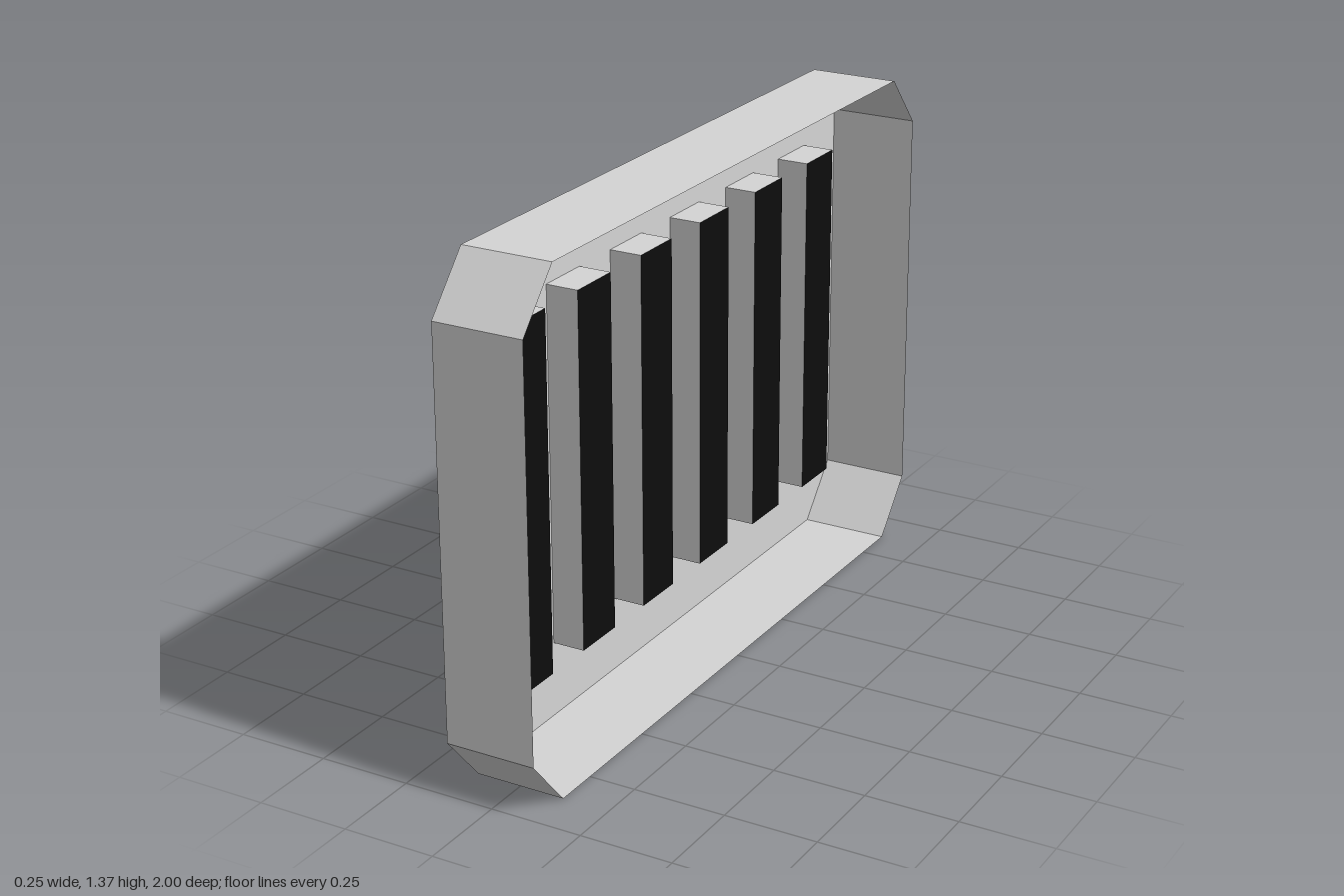
import * as THREE from 'three';

const HALF_DEPTH = 0.123, HEIGHT = 1.37;
const CAP_X = -0.034; // depth at which the slots are closed

const grey = new THREE.MeshStandardMaterial({ name: 'light grey', color: 0xd4d4d4, side: THREE.DoubleSide });
const black = new THREE.MeshStandardMaterial({ name: 'black', color: 0x0d0d0d, side: THREE.DoubleSide });

// Thin band running round a closed (z, y) outline, from x0 to x1
function band(points, x0, x1) {
  const pos = [];
  points.forEach(([az, ay], i) => {
    const [bz, by] = points[(i + 1) % points.length];
    pos.push(x0, ay, az, x1, ay, az, x1, by, bz);
    pos.push(x0, ay, az, x1, by, bz, x0, by, bz);
  });
  const geo = new THREE.BufferGeometry();
  geo.setAttribute('position', new THREE.Float32BufferAttribute(pos, 3));
  geo.computeVertexNormals();
  return geo;
}

const rectangle = (z, y, w, h) => [
  [z - w / 2, y - h / 2], [z + w / 2, y - h / 2],
  [z + w / 2, y + h / 2], [z - w / 2, y + h / 2],
];

const toVectors = (points) => points.map(([z, y]) => new THREE.Vector2(z, y));

export function createModel() {
  const group = new THREE.Group();
  group.name = 'ventGrille';
  const add = (name, geo, material) => {
    const mesh = new THREE.Mesh(geo, material);
    mesh.name = name;
    group.add(mesh);
    return mesh;
  };

  // Outline with cut corners
  const cz = 0.873, cy = 0.145;
  const outline = [
    [-cz, 0], [cz, 0], [1, cy], [1, HEIGHT - cy],
    [cz, HEIGHT], [-cz, HEIGHT], [-1, HEIGHT - cy], [-1, cy],
  ];
  add('rim', band(outline, -HALF_DEPTH, HALF_DEPTH), grey);

  // Slotted plate, with each slot running into a closed channel
  const plate = new THREE.Shape(toVectors(outline));
  const slotWidth = 0.152, slotHeight = 0.962;
  for (let i = 0; i < 6; i++) {
    const z = (i - 2.5) * 0.296;
    const slot = rectangle(z, HEIGHT / 2, slotWidth, slotHeight);
    plate.holes.push(new THREE.Path(toVectors(slot)));
    add('slotChannel', band(slot, -HALF_DEPTH, CAP_X), grey);

    const cap = add('slotCap', new THREE.PlaneGeometry(slotWidth, slotHeight).rotateY(Math.PI / 2), black);
    cap.position.set(CAP_X, HEIGHT / 2, z);
  }
  const face = add('facePlate', new THREE.ShapeGeometry(plate).rotateY(-Math.PI / 2), grey);
  face.position.x = -HALF_DEPTH;

  return group;
}
